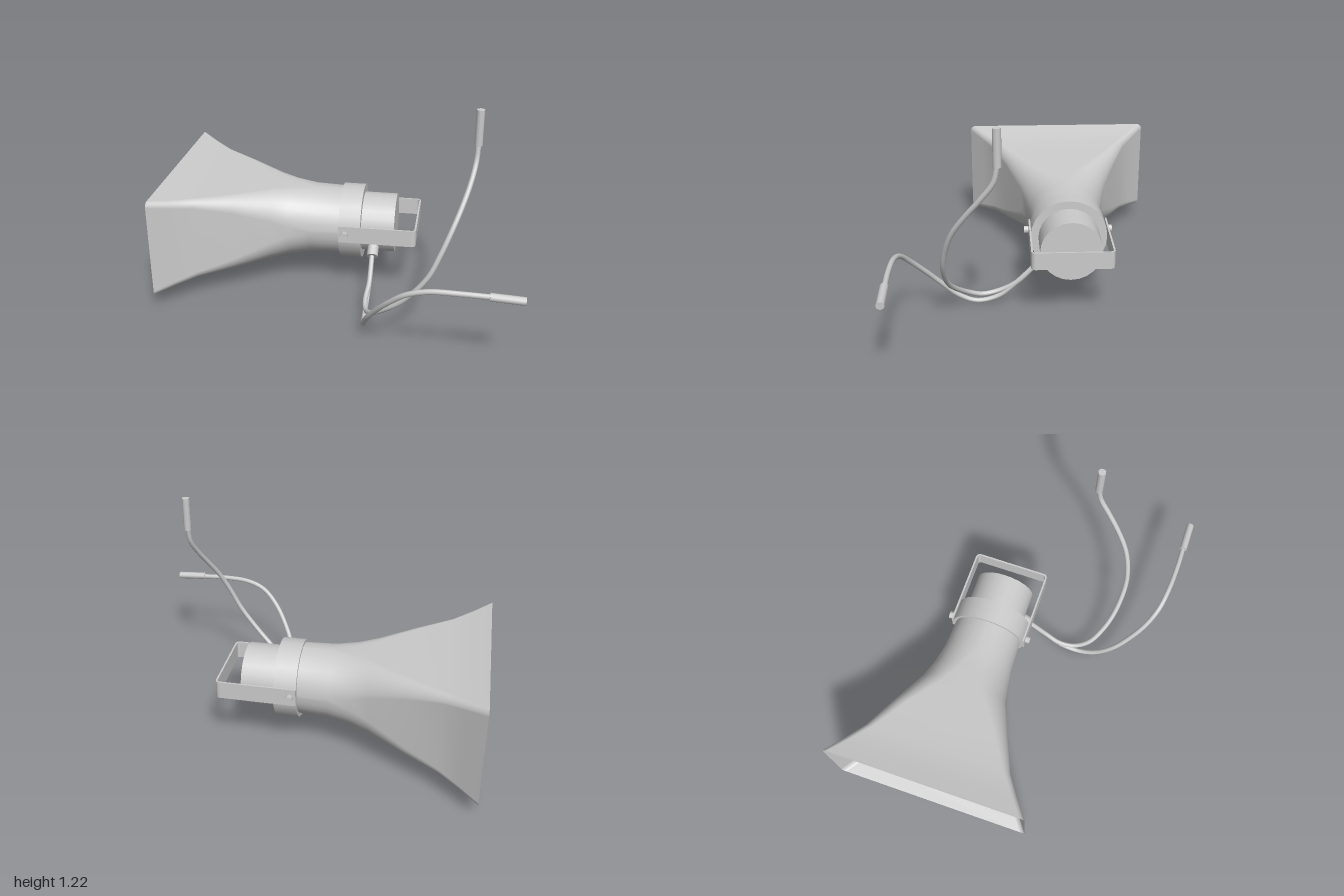
import * as THREE from 'three';

const AXIS_Y = 0.376, AXIS_Z = -0.196;
const mat = new THREE.MeshStandardMaterial({ color: 0xcccccc });
const thin = new THREE.MeshStandardMaterial({ color: 0xcccccc, side: THREE.DoubleSide });

function part(group, name, geometry, material = mat) {
  const mesh = new THREE.Mesh(geometry, material);
  mesh.name = name;
  group.add(mesh);
  return mesh;
}

// Cylinder running between two points
function rod(group, name, a, b, radius, sides) {
  const from = new THREE.Vector3(...a), to = new THREE.Vector3(...b);
  const dir = to.clone().sub(from);
  const mesh = part(group, name, new THREE.CylinderGeometry(radius, radius, dir.length(), sides));
  mesh.position.copy(from).add(to).multiplyScalar(0.5);
  mesh.quaternion.setFromUnitVectors(new THREE.Vector3(0, 1, 0), dir.normalize());
  return mesh;
}

// Horn skin lofted through rounded rectangles that become a circle
function hornGeometry() {
  // x, half height, half width, corner radius
  const sections = [
    [-1, 0.286, 0.564, 0.03], [-0.9, 0.262, 0.49, 0.035], [-0.79, 0.243, 0.414, 0.045],
    [-0.6, 0.228, 0.332, 0.085], [-0.4, 0.214, 0.248, 0.15], [-0.3, 0.206, 0.224, 0.18],
    [-0.18, 0.199, 0.204, 0.197], [0, 0.195, 0.195, 0.195],
  ];
  const steps = 8, ring = 4 * (steps + 1);
  const positions = [], index = [];
  sections.forEach(([x, hy, hz, r], s) => {
    for (let q = 0; q < 4; q++) {
      const sz = q === 0 || q === 3 ? 1 : -1, sy = q < 2 ? 1 : -1;
      for (let i = 0; i <= steps; i++) {
        // the small inset keeps neighbouring corner arcs from sharing a point
        const a = (q + 0.02 + 0.96 * i / steps) * Math.PI / 2;
        positions.push(x, AXIS_Y + sy * (hy - r) + r * Math.sin(a), AXIS_Z + sz * (hz - r) + r * Math.cos(a));
      }
    }
    if (s === 0) return;
    for (let i = 0; i < ring; i++) {
      const j = (i + 1) % ring, a = (s - 1) * ring, b = s * ring;
      index.push(a + i, a + j, b + i, a + j, b + j, b + i);
    }
  });
  const g = new THREE.BufferGeometry();
  g.setAttribute('position', new THREE.Float32BufferAttribute(positions, 3));
  g.setIndex(index);
  g.computeVertexNormals();
  return g;
}

// Flat U-shaped strap with rounded rear corners
function bracketGeometry() {
  const x0 = -0.012, x1 = 0.428, z0 = -0.418, z1 = 0.026, t = 0.01, r = 0.025;
  const s = new THREE.Shape();
  s.moveTo(x0, z0);
  s.lineTo(x1 - r, z0);
  s.absarc(x1 - r, z0 + r, r, -Math.PI / 2, 0, false);
  s.lineTo(x1, z1 - r);
  s.absarc(x1 - r, z1 - r, r, 0, Math.PI / 2, false);
  s.lineTo(x0, z1);
  s.lineTo(x0, z1 - t);
  s.lineTo(x1 - r, z1 - t);
  s.absarc(x1 - r, z1 - r, r - t, Math.PI / 2, 0, true);
  s.lineTo(x1 - t, z0 + r);
  s.absarc(x1 - r, z0 + r, r - t, 0, -Math.PI / 2, true);
  s.lineTo(x0, z0 + t);
  s.closePath();
  const g = new THREE.ExtrudeGeometry(s, { depth: 0.098, bevelEnabled: false, curveSegments: 5 });
  return g.rotateX(Math.PI / 2).translate(0, 0.43, 0);
}

function cable(group, name, points) {
  const curve = new THREE.CatmullRomCurve3(points.map((p) => new THREE.Vector3(...p)));
  part(group, name, new THREE.TubeGeometry(curve, 64, 0.014, 10), thin);
}

export function createModel() {
  const model = new THREE.Group();
  model.name = 'hornLoudspeaker';

  part(model, 'horn', hornGeometry(), thin);

  // Collar and driver housing behind the horn
  rod(model, 'collar', [-0.012, 0.372, AXIS_Z], [0.112, 0.372, AXIS_Z], 0.215, 24);
  rod(model, 'driverHousing', [0.1, 0.372, AXIS_Z], [0.3, 0.372, AXIS_Z], 0.17, 24);

  // Round-nosed reflector inside the horn
  const profile = [[0.12, -0.05], [0.12, 0.75], [0.117, 0.84], [0.108, 0.89], [0.085, 0.92], [0.08, 0.92], [0, 0.92]];
  const pod = part(model, 'innerReflector',
    new THREE.LatheGeometry(profile.map(([r, h]) => new THREE.Vector2(r, h)), 16), thin);
  pod.rotation.z = Math.PI / 2;
  pod.position.set(0, AXIS_Y, AXIS_Z);

  // Mounting bracket with a bolt on each side
  part(model, 'bracket', bracketGeometry());
  for (const side of [-1, 1]) {
    rod(model, 'bracketBolt', [0.023, 0.38, AXIS_Z + side * 0.2], [0.023, 0.38, AXIS_Z + side * 0.248], 0.022, 8);
  }

  // Cable gland on the lower side of the housing
  rod(model, 'cableGland', [0.182, 0.29, -0.08], [0.182, 0.238, -0.008], 0.032, 12);

  // Two cables and their plugs
  cable(model, 'sideCable', [
    [0.18, 0.25, -0.02], [0.18, 0.13, 0.1], [0.175, 0.045, 0.2], [0.177, 0.018, 0.32], [0.185, 0.06, 0.42],
    [0.215, 0.16, 0.52], [0.265, 0.25, 0.59], [0.34, 0.35, 0.66], [0.43, 0.43, 0.705], [0.54, 0.468, 0.725],
    [0.7, 0.475, 0.735], [0.85, 0.471, 0.735],
  ]);
  rod(model, 'sidePlug', [0.83, 0.473, 0.737], [1, 0.464, 0.737], 0.021, 12);

  cable(model, 'uprightCable', [
    [0.18, 0.25, -0.02], [0.18, 0.13, 0.1], [0.17, 0.075, 0.2], [0.185, 0.063, 0.29], [0.225, 0.1, 0.37],
    [0.31, 0.17, 0.43], [0.4, 0.25, 0.465], [0.52, 0.4, 0.48], [0.58, 0.53, 0.462], [0.63, 0.65, 0.42],
    [0.675, 0.76, 0.35], [0.71, 0.86, 0.275], [0.73, 0.95, 0.215], [0.735, 1.04, 0.195],
  ]);
  rod(model, 'uprightPlug', [0.735, 1.03, 0.195], [0.735, 1.22, 0.195], 0.021, 12);

  return model;
}
